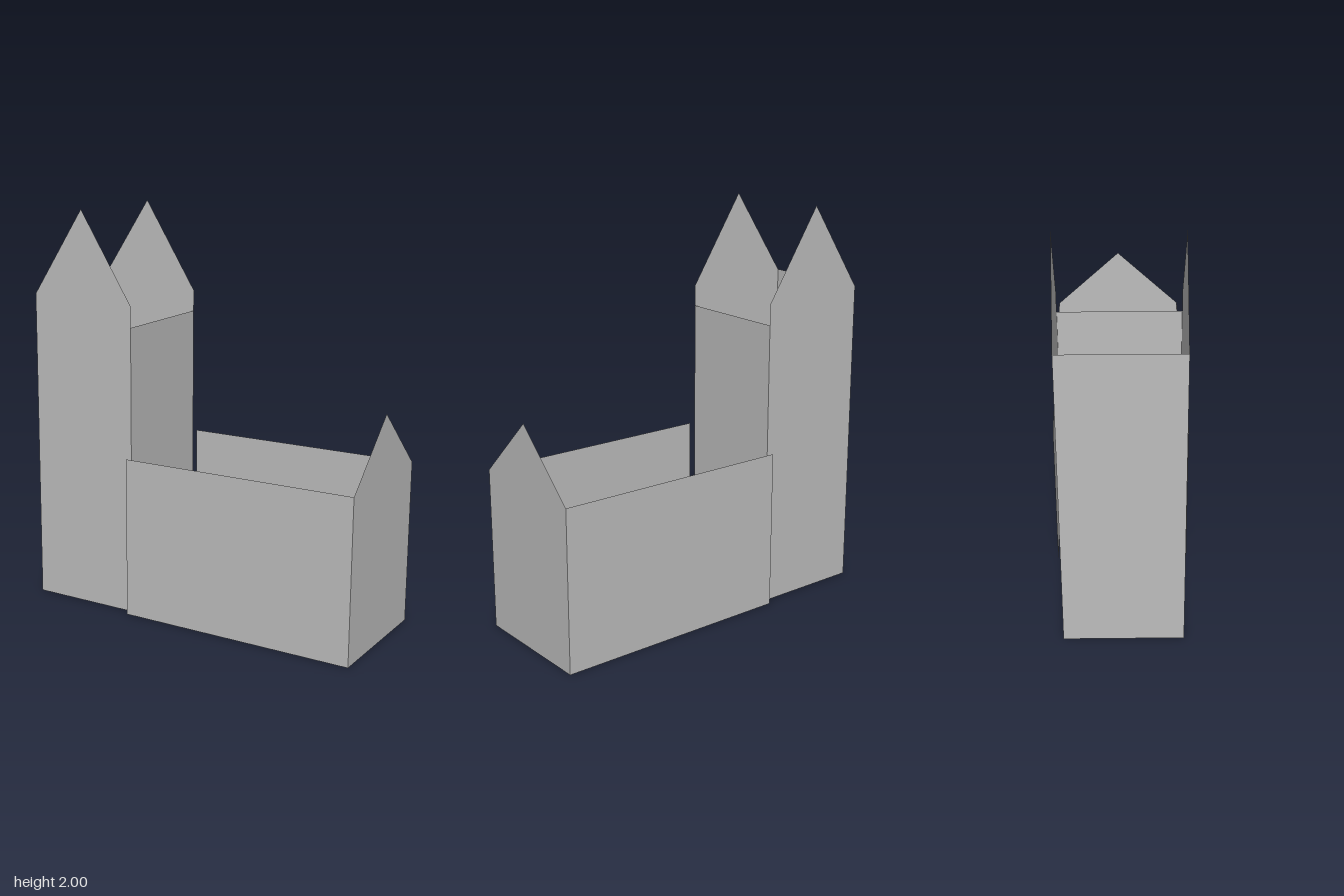
import * as THREE from 'three';

const wallGrey = new THREE.MeshStandardMaterial({ color: 0xbcbcbc, side: THREE.DoubleSide });
wallGrey.name = 'wall grey';

// Slight lean of the whole building: x and z drift with height
const LEAN_X = 0.006, LEAN_Z = -0.009;

// Single-sheet wall from a convex outline of [along, y] points.
// axis 'x': wall runs along x at z = offset; axis 'z': wall runs along z at x = offset.
function wall(name, axis, offset, outline) {
  const shape = new THREE.Shape(outline.map(([u, y]) => new THREE.Vector2(u, y)));
  const geometry = new THREE.ShapeGeometry(shape);
  const p = geometry.attributes.position;
  for (let i = 0; i < p.count; i++) {
    const u = p.getX(i), y = p.getY(i);
    const x = axis === 'x' ? u : offset;
    const z = axis === 'x' ? offset : u;
    p.setXYZ(i, x + LEAN_X * y, y, z + LEAN_Z * y);
  }
  geometry.computeVertexNormals();
  const mesh = new THREE.Mesh(geometry, wallGrey);
  mesh.name = name;
  return mesh;
}

export function createModel() {
  const model = new THREE.Group();
  model.name = 'church';

  // Tower: two gabled walls joined by two plain walls, open on top
  const tower = new THREE.Group();
  tower.name = 'tower';
  const left = -0.9, right = -0.33, front = 0.287, back = -0.283;
  const gable = [[left, 0], [right, 0], [right, 1.555], [-0.615, 2], [left, 1.57]];
  tower.add(
    wall('towerFrontWall', 'x', front, gable),
    wall('towerBackWall', 'x', back, gable),
    wall('towerOuterWall', 'z', left, [[back, 0], [front, 0], [front, 1.57], [back, 1.57]]),
    // Inner wall stops above the floor, leaving a passage to the nave
    wall('towerInnerWall', 'z', right, [[back, 0.39], [front, 0.39], [front, 1.45], [back, 1.45]])
  );

  // Nave: two long walls and a gabled end, open on top
  const nave = new THREE.Group();
  nave.name = 'nave';
  const start = -0.333, end = 0.89, half = 0.328;
  const side = [[start, 0], [end, 0], [end, 0.815], [start, 0.807]];
  nave.add(
    wall('naveFrontWall', 'x', half, side),
    wall('naveBackWall', 'x', -half + 0.005, side),
    wall('naveEndWall', 'z', end,
      [[-half + 0.005, 0], [half, 0], [half, 0.815], [0.005, 1.125], [-half + 0.005, 0.815]])
  );

  model.add(tower, nave);
  return model;
}
